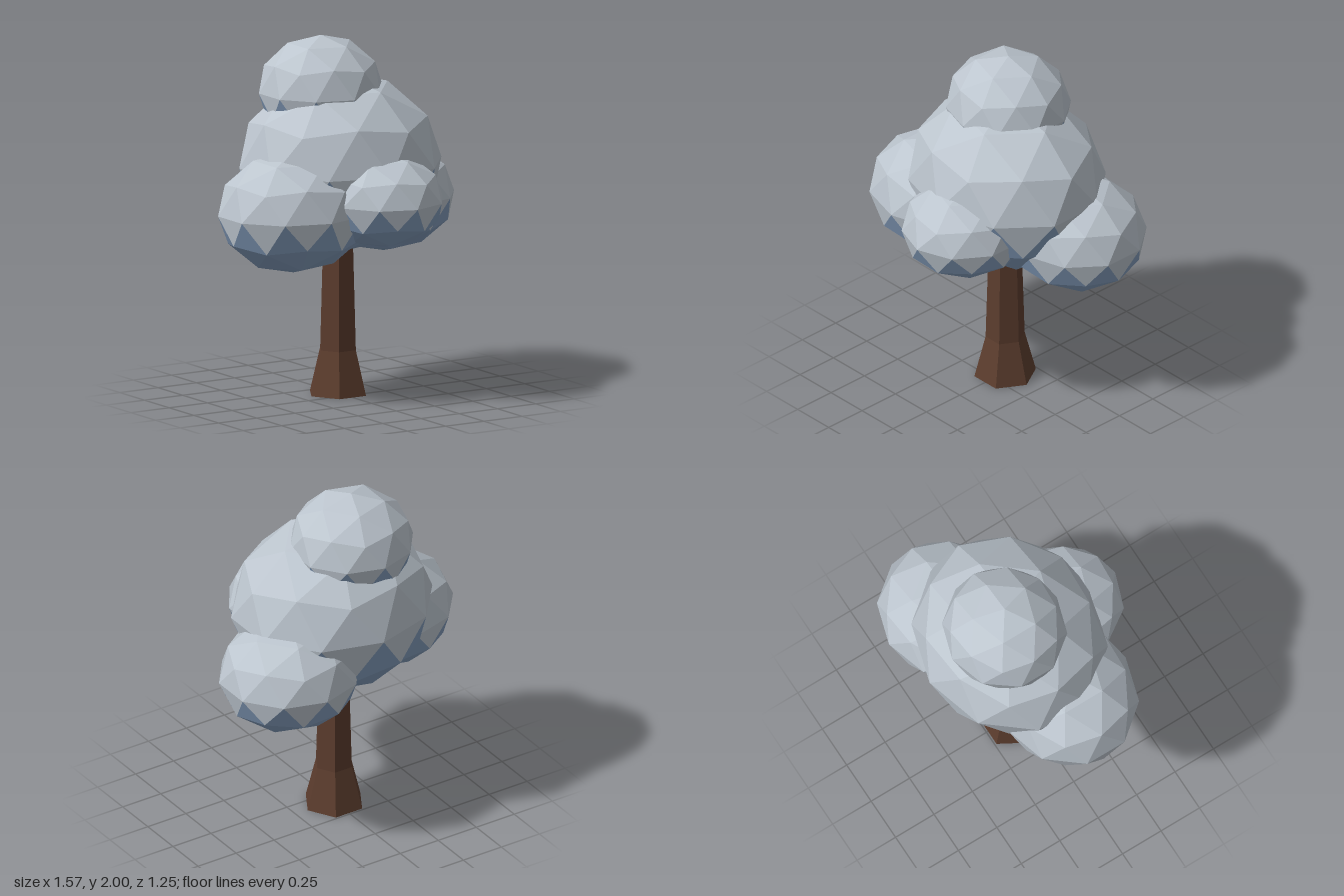
import * as THREE from 'three';

const snow = new THREE.MeshStandardMaterial({ name: 'paleGrey', color: 0xbcc5ce, flatShading: true });
const shade = new THREE.MeshStandardMaterial({ name: 'slateBlue', color: 0x86a0c0, flatShading: true });
const bark = new THREE.MeshStandardMaterial({ name: 'barkBrown', color: 0x5c3d2e, flatShading: true });

// Once-subdivided icosahedron standing on a corner, so its equator is a level ten-sided ring
function facetedBall() {
  const points = [0, 1, 0, 0, -1, 0];
  const faces = [];
  const h = 1 / Math.sqrt(5), r = 2 * h;
  for (let i = 0; i < 5; i++) {
    const a = i * Math.PI * 0.4, b = a + Math.PI * 0.2;
    points.push(r * Math.cos(a), h, r * Math.sin(a));
    points.push(r * Math.cos(b), -h, r * Math.sin(b));
    const j = (i + 1) % 5;
    const u0 = 2 + 2 * i, l0 = u0 + 1, u1 = 2 + 2 * j, l1 = u1 + 1;
    faces.push(0, u1, u0, u0, u1, l0, l0, u1, l1, 1, l0, l1);
  }
  return new THREE.PolyhedronGeometry(points, faces, 1, 1);
}

// Foliage clump: faces well below the equator take the second material
function clump(name, [x, y, z], [rx, ry, rz]) {
  const pos = facetedBall().getAttribute('position');
  const upper = [], lower = [];
  for (let i = 0; i < pos.count; i += 3) {
    const mid = (pos.getY(i) + pos.getY(i + 1) + pos.getY(i + 2)) / 3;
    const side = mid < -0.25 ? lower : upper;
    for (let k = i; k < i + 3; k++) side.push(pos.getX(k) * rx, pos.getY(k) * ry, pos.getZ(k) * rz);
  }
  const geo = new THREE.BufferGeometry();
  geo.setAttribute('position', new THREE.Float32BufferAttribute([...upper, ...lower], 3));
  geo.addGroup(0, upper.length / 3, 0);
  geo.addGroup(upper.length / 3, lower.length / 3, 1);
  geo.computeVertexNormals();
  const mesh = new THREE.Mesh(geo, [snow, shade]);
  mesh.name = name;
  mesh.position.set(x, y, z);
  return mesh;
}

// Six-sided trunk section with corners on the x axis
function trunkPart(name, rTop, rBottom, y0, y1, open) {
  const geo = new THREE.CylinderGeometry(rTop, rBottom, y1 - y0, 6, 1, open);
  geo.rotateY(Math.PI / 2);
  const mesh = new THREE.Mesh(geo, bark);
  mesh.name = name;
  mesh.position.set(0, (y0 + y1) / 2, -0.09);
  return mesh;
}

export function createModel() {
  const tree = new THREE.Group();
  tree.name = 'tree';

  // Trunk: flared foot and tapering stem
  const foot = trunkPart('trunkFoot', 0.11, 0.173, 0, 0.25, false);
  const stem = trunkPart('trunkStem', 0.088, 0.11, 0.25, 1.0, true);
  tree.add(foot, stem);

  // Canopy
  tree.add(
    clump('mainFoliage', [0.015, 1.29, -0.09], [0.585, 0.5, 0.52]),
    clump('topFoliage', [-0.06, 1.69, -0.17], [0.355, 0.31, 0.34]),
    clump('leftFoliage', [0.4, 1.045, -0.25], [0.405, 0.315, 0.38]),
    clump('rightFoliage', [-0.37, 1.075, 0.03], [0.435, 0.338, 0.39]),
    clump('frontFoliage', [0.06, 1.14, 0.25], [0.345, 0.268, 0.375]),
  );
  return tree;
}
